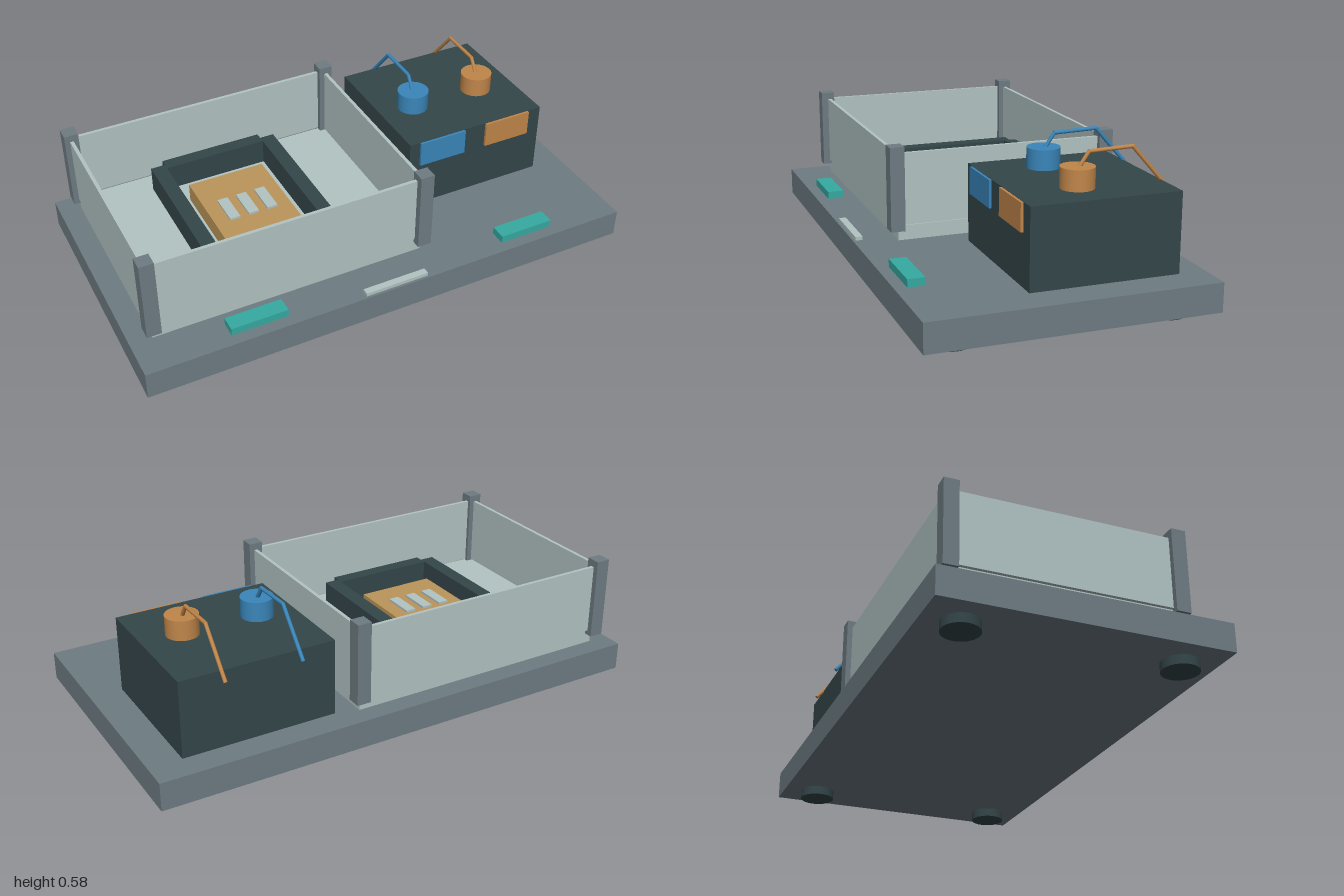
import * as THREE from 'three';

const mat = (name, color) => new THREE.MeshStandardMaterial({ name, color });

export function createModel() {
  const grey = mat('slate grey', 0x6e7c82);
  const dark = mat('dark charcoal', 0x34464a);
  const pale = mat('pale glass', 0xb2c4c3);
  const brass = mat('brass', 0xbc965a);
  const copper = mat('copper', 0xc0864a);
  const blue = mat('blue', 0x3a86ba);
  const teal = mat('teal', 0x36aaa2);

  const model = new THREE.Group();
  model.name = 'electrophoresisBench';

  const add = (name, geometry, material) => {
    const mesh = new THREE.Mesh(geometry, material);
    mesh.name = name;
    model.add(mesh);
    return mesh;
  };
  // Box given by its limits on each axis
  const box = (name, material, [x0, x1], [y0, y1], [z0, z1]) =>
    add(name, new THREE.BoxGeometry(x1 - x0, y1 - y0, z1 - z0), material)
      .position.set((x0 + x1) / 2, (y0 + y1) / 2, (z0 + z1) / 2);
  const cylinder = (name, material, r, [y0, y1], x, z) =>
    add(name, new THREE.CylinderGeometry(r, r, y1 - y0, 24), material)
      .position.set(x, (y0 + y1) / 2, z);

  // Base plate and feet
  box('base', grey, [-1, 1], [0.035, 0.145], [-0.538, 0.538]);
  for (const x of [-0.86, 0.86])
    for (const z of [-0.4, 0.4]) cylinder('foot', dark, 0.069, [0, 0.036], x, z);

  // Tank floor, walls and corner posts
  const left = -0.915, right = 0.179, back = -0.466, front = 0.382;
  box('tankFloor', pale, [left, right], [0.145, 0.202], [-0.46, 0.374]);
  const wallY = [0.206, 0.484], t = 0.007;
  for (const z of [back, 0.375])
    box('tankLongWall', pale, [left, right], wallY, [z - t, z + t]);
  for (const x of [left, right])
    box('tankEndWall', pale, [x - t, x + t], wallY, [back, 0.375]);
  const p = 0.028;
  for (const x of [left, right])
    for (const z of [back, front])
      box('cornerPost', grey, [x - p, x + p], [0.187, 0.512], [z - p, z + p]);

  // Gel tray: four frame bars around a slab with three wells
  const frameY = [0.202, 0.305];
  for (const x of [-0.634, -0.158])
    box('traySideBar', dark, [x, x + 0.058], frameY, [-0.37, 0.272]);
  for (const z of [-0.398, 0.247])
    box('trayEndBar', dark, [-0.576, -0.158], frameY, [z, z + 0.054]);
  box('gelSlab', brass, [-0.525, -0.21], [0.202, 0.275], [-0.24, 0.149]);
  for (const x of [-0.445, -0.367, -0.289])
    box('gelWell', pale, [x - 0.021, x + 0.021], [0.275, 0.284], [-0.088, 0.041]);

  // Power supply with two terminals
  box('powerSupply', dark, [0.267, 0.872], [0.145, 0.445], [-0.435, 0.127]);
  const wirePath = [[0.49, -0.1], [0.57, -0.155], [0.575, -0.322], [0.413, -0.464]];
  for (const [x, material] of [[0.412, blue], [0.711, copper]]) {
    box('terminalPanel', material, [x - 0.1, x + 0.102], [0.34, 0.444], [0.127, 0.137]);
    cylinder('terminalKnob', material, 0.063, [0.445, 0.522], x, -0.113);
    // Bent wire made of straight runs
    for (let i = 0; i < wirePath.length - 1; i++) {
      const [a, b] = [wirePath[i], wirePath[i + 1]].map(([y, z]) => new THREE.Vector3(x, y, z));
      const dir = b.clone().sub(a);
      const wire = add('wire', new THREE.CylinderGeometry(0.0075, 0.0075, dir.length() + 0.004, 8), material);
      wire.position.copy(a).add(b).multiplyScalar(0.5);
      wire.quaternion.setFromUnitVectors(new THREE.Vector3(0, 1, 0), dir.normalize());
    }
  }

  // Front edge latches and label strip
  for (const x of [-0.548, 0.589])
    box('latch', teal, [x - 0.112, x + 0.112], [0.152, 0.182], [0.434, 0.498]);
  box('labelStrip', pale, [-0.132, 0.128], [0.145, 0.159], [0.5, 0.528]);

  return model;
}
